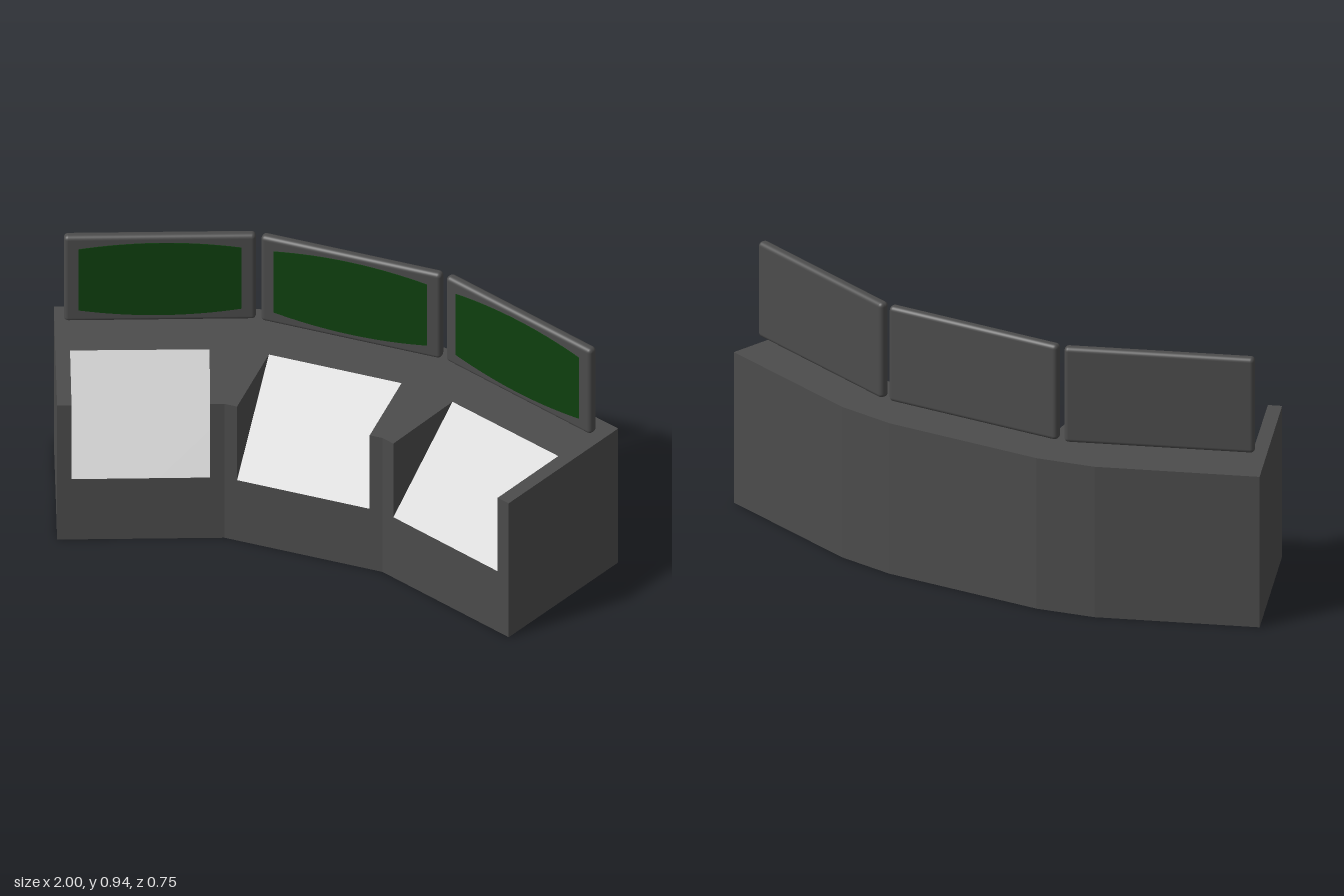
import * as THREE from 'three';
import { RoundedBoxGeometry } from 'three/addons/geometries/RoundedBoxGeometry.js';

const LEDGE = 0.25, TOP = 0.555, TILT = Math.atan2(0.2, 0.52);

const casing = new THREE.MeshStandardMaterial({ color: 0x4c4c4c });
const panel = new THREE.MeshStandardMaterial({ color: 0xc6c6c6 });
const screenGreen = new THREE.MeshStandardMaterial({ color: 0x0f400f });

// Right half of the plan as [x, z], then mirrored into a closed outline
function mirrored(half) {
  return [...half, ...half.map(([x, z]) => [-x, z]).reverse()];
}

// Upright slab with the given plan between two heights
function slab(name, plan, y0, y1) {
  const shape = new THREE.Shape(plan.map(([x, z]) => new THREE.Vector2(x, -z)));
  const geo = new THREE.ExtrudeGeometry(shape, { depth: y1 - y0, bevelEnabled: false });
  geo.rotateX(-Math.PI / 2);
  geo.translate(0, y0, 0);
  const mesh = new THREE.Mesh(geo, casing);
  mesh.name = name;
  return mesh;
}

// Sloping work surface: front edge low, back edge flush with the desk top
function slope(name, [fl, fr, br, bl]) {
  const geo = new THREE.BufferGeometry();
  const pos = [[fl, LEDGE], [fr, LEDGE], [br, TOP], [bl, TOP]].flatMap(([[x, z], y]) => [x, y, z]);
  geo.setAttribute('position', new THREE.Float32BufferAttribute(pos, 3));
  geo.setIndex([0, 1, 2, 0, 2, 3]);
  geo.computeVertexNormals();
  const mesh = new THREE.Mesh(geo, panel);
  mesh.name = name;
  return mesh;
}

// Monitor: rounded housing with a bulging screen plate
function monitor(name, x, z, angle) {
  const group = new THREE.Group();
  group.name = name;
  const housing = new THREE.Mesh(new RoundedBoxGeometry(0.64, 0.35, 0.037, 3, 0.015), casing);
  housing.name = 'housing';

  const w = 0.272, h = 0.126, bulge = 0.046;
  const s = new THREE.Shape();
  s.moveTo(-w, -h);
  s.quadraticCurveTo(0, -h - bulge, w, -h);
  s.lineTo(w, h);
  s.quadraticCurveTo(0, h + bulge, -w, h);
  s.closePath();
  const plate = new THREE.ExtrudeGeometry(s, { depth: 0.003, bevelEnabled: false, curveSegments: 16 });
  const screen = new THREE.Mesh(plate, screenGreen);
  screen.name = 'screen';
  screen.position.z = 0.0175;

  group.add(housing, screen);
  group.position.set(x, 0.765, z);
  group.rotation.y = angle;
  return group;
}

export function createModel() {
  const model = new THREE.Group();
  model.name = 'controlConsole';

  // Bay corners: front left, front right, back right, back left
  const centreBay = [[-0.235, 0.175], [0.235, 0.175], [0.235, -0.135], [-0.235, -0.135]];
  const leftBay = [[0.325, 0.192], [0.755, 0.358], [0.865, 0.07], [0.43, -0.095]];
  const rightBay = [1, 0, 3, 2].map(i => [-leftBay[i][0], leftBay[i][1]]);

  // Curved desk: solid base, then a notched upper part
  const back = [[0.8, 0.375], [1, -0.143], [0.48, -0.34], [0.28, -0.375]];
  const base = mirrored([[0.28, 0.175], ...back]);
  const upper = mirrored([
    centreBay[2], centreBay[1], [0.28, 0.175],
    leftBay[0], leftBay[3], leftBay[2], leftBay[1], ...back,
  ]);
  model.add(slab('deskBase', base, 0, LEDGE), slab('deskUpper', upper, LEDGE, TOP));

  // Work surfaces
  model.add(slope('centrePanel', centreBay), slope('leftPanel', leftBay), slope('rightPanel', rightBay));

  // Monitors, the outer two turned inwards
  model.add(
    monitor('centreMonitor', 0.01, -0.275, 0),
    monitor('leftMonitor', 0.65, -0.16, -TILT),
    monitor('rightMonitor', -0.63, -0.16, TILT),
  );
  return model;
}
